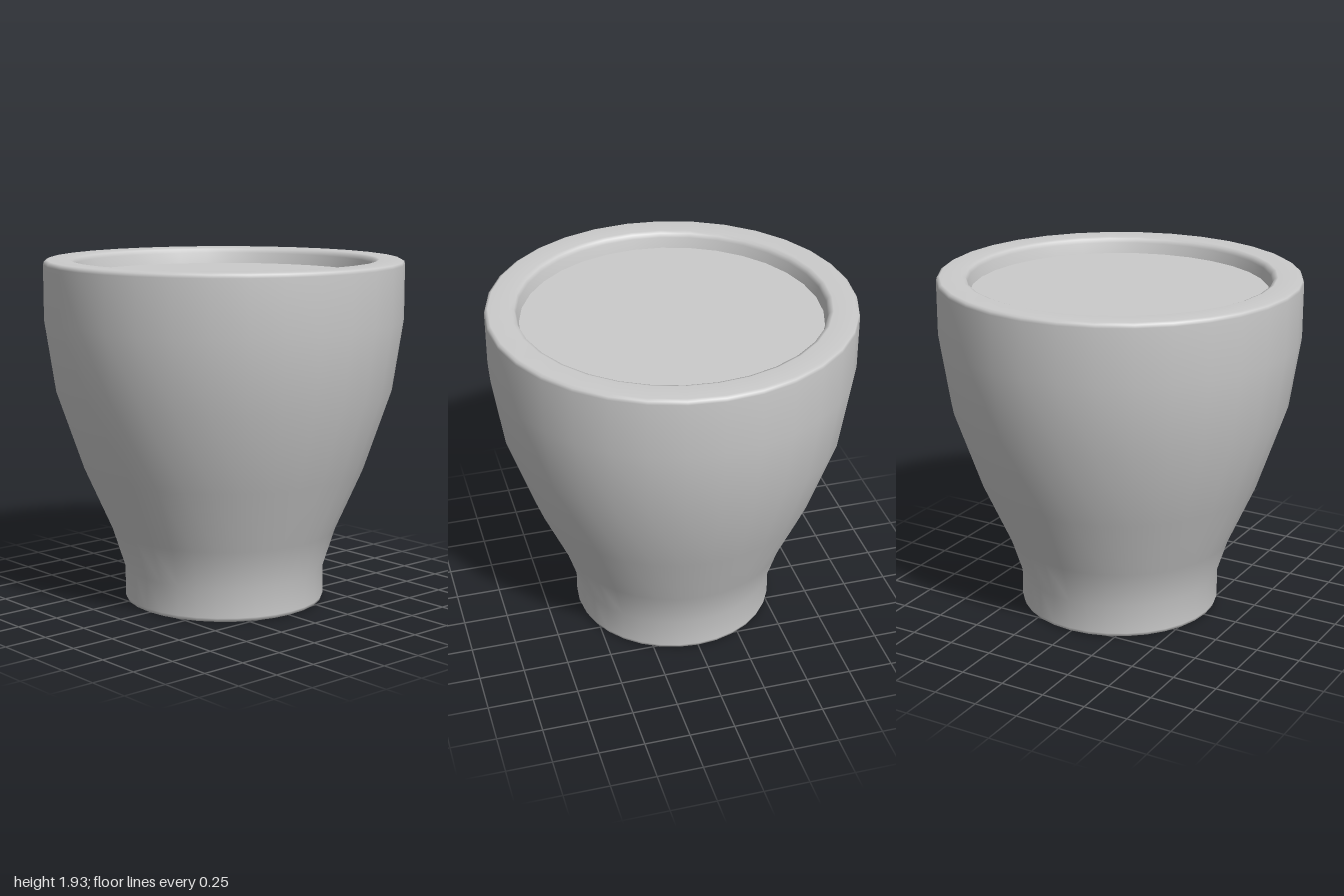
import * as THREE from 'three';

const SIDES = 32;

// Revolve a list of [radius, height] points around the y axis
function revolve(name, profile, material) {
  const points = profile.map(([r, y]) => new THREE.Vector2(r, y));
  const mesh = new THREE.Mesh(new THREE.LatheGeometry(points, SIDES), material);
  mesh.name = name;
  return mesh;
}

export function createModel() {
  const group = new THREE.Group();
  group.name = 'cup';
  const material = new THREE.MeshStandardMaterial({ color: 0xcccccc });

  // Outer wall: straight foot, flared body, rounded lip, then the inner wall
  group.add(revolve('cupBody', [
    [0.545, 0], [0.558, 0.006], [0.565, 0.025],
    [0.565, 0.19], [0.635, 0.41], [0.79, 0.76], [0.94, 1.2], [1, 1.6],
    [1, 1.905], [0.995, 1.922], [0.98, 1.93],
    [0.86, 1.93], [0.84, 1.922], [0.83, 1.9],
    [0.815, 1.82],
  ], material));

  // Flat underside
  const base = new THREE.Mesh(new THREE.CircleGeometry(0.545, SIDES), material);
  base.name = 'cupBase';
  base.rotation.x = Math.PI / 2;
  group.add(base);

  // Level surface filling the cup just below the lip
  const filling = new THREE.Mesh(new THREE.CircleGeometry(0.82, SIDES), material);
  filling.name = 'drinkSurface';
  filling.rotation.x = -Math.PI / 2;
  filling.position.y = 1.84;
  group.add(filling);

  return group;
}
